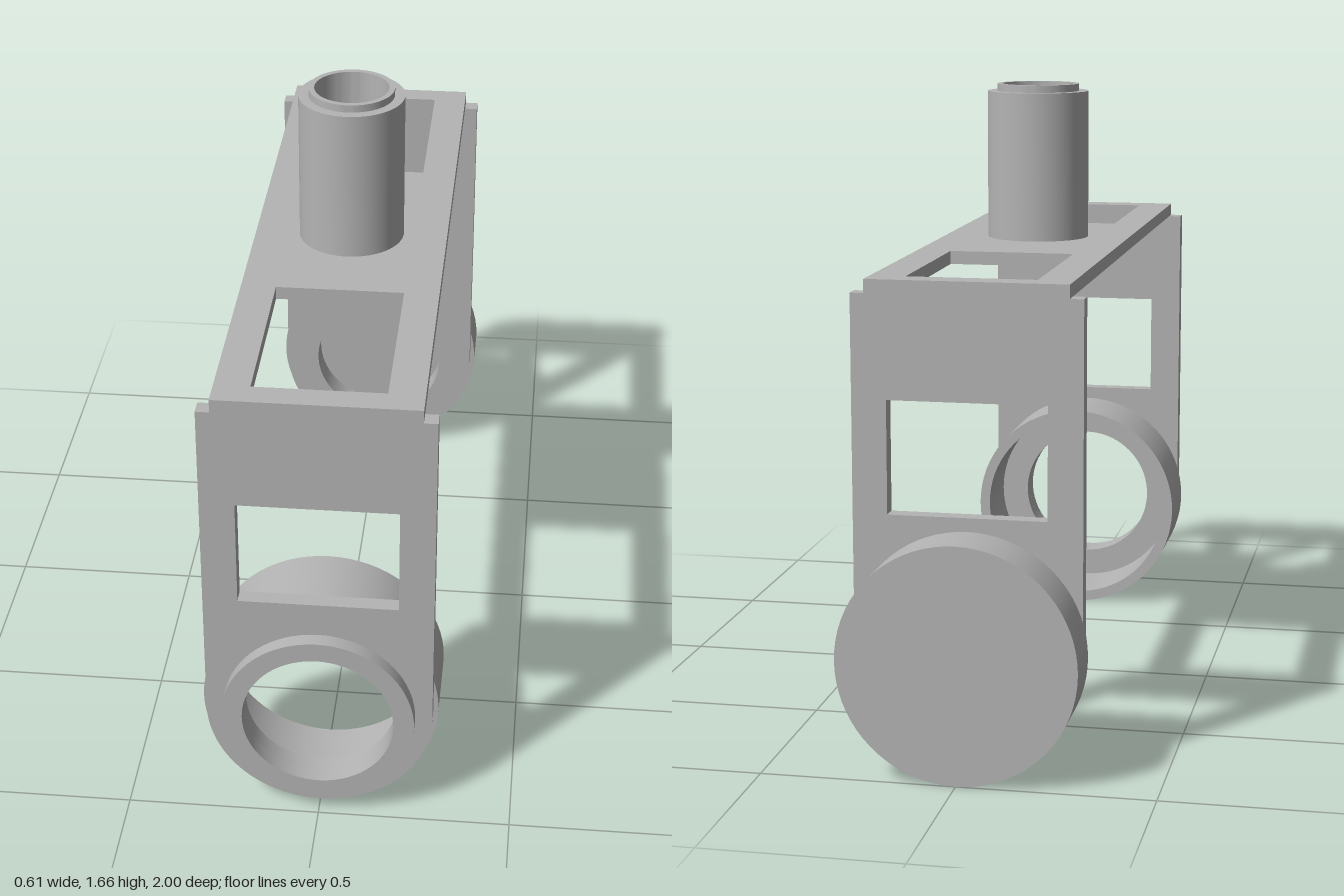
import * as THREE from 'three';
import { toCreasedNormals } from 'three/addons/utils/BufferGeometryUtils.js';

const CY = 0.305; // height of the wheel-hub axis

const metal = () => {
  const m = new THREE.MeshStandardMaterial({ color: 0xb4b4b4 });
  m.name = 'grey metal';
  return m;
};

function rectHole(x0, y0, x1, y1) {
  const p = new THREE.Path();
  p.moveTo(x0, y0).lineTo(x0, y1).lineTo(x1, y1).lineTo(x1, y0).closePath();
  return p;
}

function circleHole(x, y, r) {
  return new THREE.Path().absarc(x, y, r, 0, Math.PI * 2, true);
}

function plate(shape, depth) {
  const g = new THREE.ExtrudeGeometry(shape, { depth, bevelEnabled: false, curveSegments: 48 });
  return toCreasedNormals(g, 0.5);
}

// Turned solid around y from a profile running up the outside and down the inside
function turned(profile) {
  const pts = profile.map(([r, y]) => new THREE.Vector2(r, y));
  return toCreasedNormals(new THREE.LatheGeometry(pts, 72), 0.5);
}

export function createModel() {
  const group = new THREE.Group();
  const mat = metal();
  const add = (name, geometry) => {
    const mesh = new THREE.Mesh(geometry, mat);
    mesh.name = name;
    group.add(mesh);
    return mesh;
  };

  // Upright plates with a round foot, a window and a hub hole
  const upright = (name, z, depth) => {
    const w = 0.292;
    const s = new THREE.Shape();
    s.moveTo(w, 1.2);
    s.lineTo(-w, 1.2);
    s.lineTo(-w, CY);
    s.absarc(0, CY, w, Math.PI, Math.PI * 2, false);
    s.closePath();
    s.holes.push(rectHole(-0.203, 0.645, 0.203, 0.935), circleHole(0, CY, 0.195));
    add(name, plate(s, depth)).position.z = z;
  };
  upright('frontPlate', 0.918, 0.042);
  upright('backPlate', -0.855, 0.043);

  // Top bridge with two windows and the tube hole
  const tubeZ = 0.077;
  const top = new THREE.Shape();
  top.moveTo(-0.257, -0.96);
  top.lineTo(0.257, -0.96);
  top.lineTo(0.257, 0.855);
  top.lineTo(-0.257, 0.855);
  top.closePath();
  top.holes.push(
    rectHole(-0.166, -0.89, 0.166, -0.398),
    rectHole(-0.166, 0.298, 0.166, 0.79),
    circleHole(0, -tubeZ, 0.098)
  );
  add('topBridge', plate(top, 0.035).rotateX(-Math.PI / 2)).position.y = 1.2;

  // Hollow tube with a stepped lip
  add('tube', turned([
    [0.098, 1.235], [0.14, 1.235], [0.14, 1.64], [0.113, 1.64],
    [0.113, 1.66], [0.098, 1.66], [0.098, 1.235],
  ])).position.z = tubeZ;

  // Hubs, turned around z
  const hub = (name, profile) => {
    add(name, turned(profile).rotateX(Math.PI / 2)).position.y = CY;
  };
  hub('frontCollar', [
    [0.195, 0.96], [0.248, 0.96], [0.248, 1], [0.195, 1], [0.195, 0.96],
  ]);
  hub('frontCup', [
    [0.275, 0.7], [0.305, 0.7], [0.305, 0.918], [0.195, 0.918],
    [0.195, 0.915], [0.275, 0.915], [0.275, 0.7],
  ]);
  hub('backCap', [
    [0, -1], [0.305, -1], [0.305, -0.855], [0.195, -0.855], [0.195, -0.89], [0, -0.89],
  ]);

  return group;
}
